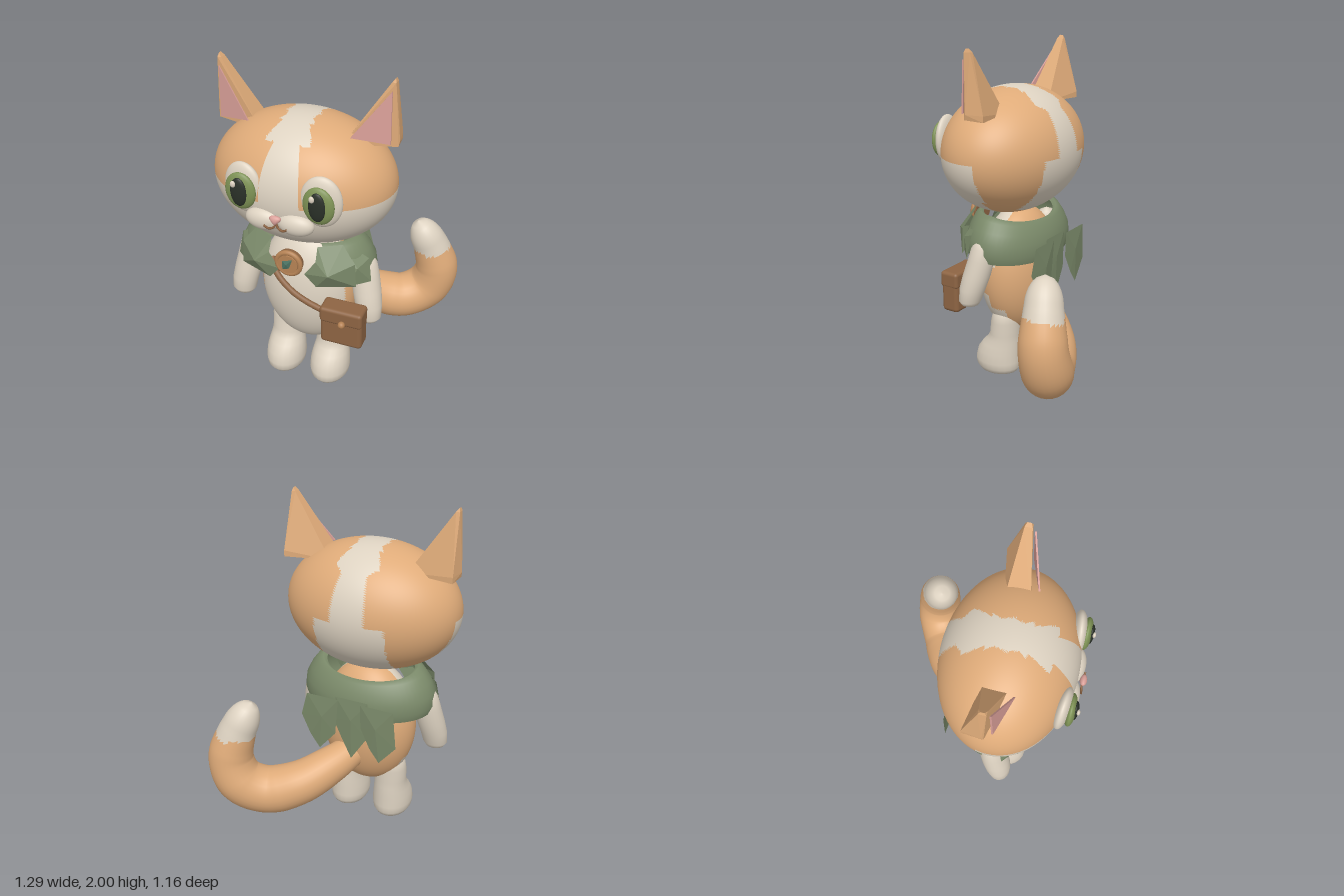
import * as THREE from 'three';
import { mergeVertices } from 'three/addons/utils/BufferGeometryUtils.js';
import { RoundedBoxGeometry } from 'three/addons/geometries/RoundedBoxGeometry.js';
import { ConvexGeometry } from 'three/addons/geometries/ConvexGeometry.js';

const CX = -0.13; // symmetry line of the body
const EYE_X = -0.122; // symmetry line of the eyes

function material(name, color, options = {}) {
  const m = new THREE.MeshStandardMaterial({ color, ...options });
  m.name = name;
  return m;
}

// Ellipsoid baked into model coordinates
function ellipsoid(x, y, z, rx, ry, rz, w = 32, h = 20) {
  return new THREE.SphereGeometry(1, w, h).scale(rx, ry, rz).translate(x, y, z);
}

// Sort triangles into two material groups by their centre
function paint(geo, isFirst) {
  const p = geo.attributes.position, idx = geo.index.array, sets = [[], []];
  const c = (i, k) => (p.getComponent(idx[i], k) + p.getComponent(idx[i + 1], k) + p.getComponent(idx[i + 2], k)) / 3;
  for (let i = 0; i < idx.length; i += 3)
    sets[isFirst(c(i, 0), c(i, 1), c(i, 2)) ? 0 : 1].push(idx[i], idx[i + 1], idx[i + 2]);
  geo.setIndex([...sets[0], ...sets[1]]);
  geo.addGroup(0, sets[0].length, 0);
  geo.addGroup(sets[0].length, sets[1].length, 1);
  return geo;
}

// Stack of horizontal ellipses, bottom to top: [y, cx, cz, rx, rz]
function loft(sections, n = 24) {
  const pos = [], index = [];
  sections.forEach(([y, cx, cz, rx, rz], r) => {
    for (let i = 0; i < n; i++) {
      const a = (i / n) * Math.PI * 2;
      pos.push(cx + rx * Math.cos(a), y, cz + rz * Math.sin(a));
      if (r === sections.length - 1) continue;
      const A = r * n + i, B = r * n + (i + 1) % n;
      index.push(A, A + n, B, B, A + n, B + n);
    }
  });
  const g = new THREE.BufferGeometry();
  g.setAttribute('position', new THREE.Float32BufferAttribute(pos, 3));
  g.setIndex(index);
  g.computeVertexNormals();
  return g;
}

// Faceted leaf: a rim of corners fanned around a raised centre
function leaf(centre, rim) {
  const pos = rim.flatMap((p, i) => [...centre, ...p, ...rim[(i + 1) % rim.length]]);
  const g = new THREE.BufferGeometry();
  g.setAttribute('position', new THREE.Float32BufferAttribute(pos, 3));
  g.computeVertexNormals();
  return g;
}

function lerpTable(table, x) {
  for (let i = 1; i < table.length; i++) {
    const [x0, y0] = table[i - 1], [x1, y1] = table[i];
    if (x <= x1) return y0 + (y1 - y0) * Math.max(0, (x - x0) / (x1 - x0));
  }
  return table[table.length - 1][1];
}

export function createModel() {
  const root = new THREE.Group();
  const orange = material('orange fur', 0xdfab79);
  const cream = material('cream fur', 0xddd2c1);
  const green = material('cape green', 0x7a8969, { side: THREE.DoubleSide });
  const iris = material('iris green', 0x7e9255);
  const dark = material('pupil dark', 0x2a3028);
  const pink = material('pink', 0xd99f98);
  const leather = material('leather brown', 0x8d6443);
  const tan = material('tan metal', 0xb58254);
  const teal = material('emblem teal', 0x4d7565, { side: THREE.DoubleSide });

  const add = (name, geo, mat) => {
    const m = new THREE.Mesh(geo, mat);
    m.name = name;
    root.add(m);
    return m;
  };

  // Head with ragged blaze, pale muzzle half and pale nape
  const blaze = [[-0.22, 0.1], [-0.115, 0.075], [-0.07, 0.13], [0.03, 0.08], [0.035, 0.1], [0.08, 0.075], [0.15, 0.092],
    [0.2, 0.072], [0.24, 0.1], [0.25, 0.075], [0.37, 0.13], [0.376, 0.072], [0.5, 0.11], [0.52, 0.11]];
  add('head', paint(ellipsoid(CX, 1.385, 0.15, 0.518, 0.372, 0.372, 144, 96), (x, y, z) => {
    const d = Math.abs(x - CX);
    if (y > 1.385) return d < lerpTable(blaze, z);
    if (z > (y < 1.15 ? 0.11 : 0.083)) return true;
    return z < 0 && d < 0.21;
  }), [cream, orange]);

  // Body with orange back
  add('body', paint(ellipsoid(CX, 0.64, 0.115, 0.294, 0.4, 0.215, 96, 72), (x, y, z) =>
    z > (y > 0.73 ? 0.1 : y > 0.54 ? 0.215 : y > 0.45 ? 0.155 : 0.06)), [cream, orange]);

  for (const s of [-1, 1]) {
    const side = s > 0 ? 'left' : 'right';
    const X = d => CX + s * d;

    // Ears: tapering wedges with a pink plate in front
    add(side + 'Ear', new ConvexGeometry([
      [0.51, 1.63, 0.13], [0.5, 1.625, 0.015], [0.232, 1.63, 0.06], [0.232, 1.63, 0.2],
      [0.515, 1.66, 0.12], [0.5, 1.66, 0.015],
      [0.488, 1.98, 0.14], [0.488, 1.98, 0.1], [0.482, 2.0, 0.13], [0.482, 2.0, 0.11], [0.466, 1.98, 0.14], [0.466, 1.98, 0.1],
    ].map(([d, y, z]) => new THREE.Vector3(X(d), y, z))), orange);
    add(side + 'InnerEar', new ConvexGeometry([[0.475, 1.94, 0.16], [0.48, 1.655, 0.17], [0.285, 1.69, 0.235]]
      .flatMap(([d, y, z]) => [0, -0.009].map(o => new THREE.Vector3(X(d), y, z + o)))), pink);

    // Eyes
    const ex = EYE_X + s * 0.215;
    const rim = add(side + 'EyeRim', ellipsoid(0, 0, 0, 0.112, 0.146, 0.042), cream);
    rim.position.set(ex, 1.438, 0.475);
    rim.rotation.y = s * 0.12;
    add(side + 'Iris', ellipsoid(ex, 1.436, 0.515, 0.086, 0.106, 0.03), iris);
    add(side + 'Pupil', ellipsoid(ex, 1.44, 0.538, 0.046, 0.082, 0.018), dark);
    add(side + 'EyeGlint', ellipsoid(ex - 0.022, 1.49, 0.553, 0.015, 0.019, 0.01, 12, 8), cream);

    // Muzzle pad and mouth curve
    add(side + 'Muzzle', ellipsoid(X(0.09), 1.288, 0.5, 0.102, 0.064, 0.054), cream);
    const mouth = new THREE.CatmullRomCurve3([[0, 1.305, 0.545], [0.012, 1.279, 0.551], [0.04, 1.269, 0.556], [0.066, 1.283, 0.557]]
      .map(([d, y, z]) => new THREE.Vector3(X(d), y, z)));
    add(side + 'Mouth', new THREE.TubeGeometry(mouth, 12, 0.006, 6), leather);

    // Leg with foot
    const L = X(0.148);
    add(side + 'Leg', loft([
      [0, L, 0.17, 0.001, 0.001], [0, L, 0.175, 0.1, 0.125], [0.03, L, 0.177, 0.117, 0.145], [0.07, L, 0.178, 0.123, 0.146],
      [0.13, L, 0.17, 0.119, 0.138], [0.18, L, 0.152, 0.11, 0.12], [0.215, L, 0.136, 0.103, 0.102], [0.255, L, 0.126, 0.1, 0.091],
      [0.34, L, 0.12, 0.101, 0.087], [0.39, L, 0.115, 0.094, 0.08], [0.43, L, 0.113, 0.07, 0.06], [0.455, L, 0.113, 0.001, 0.001]]), cream);

    // Arm
    add(side + 'Arm', loft([
      [0.512, X(0.4), 0.2, 0.001, 0.001], [0.52, X(0.4), 0.2, 0.055, 0.05], [0.545, X(0.4), 0.2, 0.073, 0.064],
      [0.62, X(0.392), 0.187, 0.08, 0.076], [0.7, X(0.375), 0.168, 0.084, 0.08], [0.8, X(0.356), 0.146, 0.082, 0.076],
      [0.87, X(0.348), 0.138, 0.073, 0.065], [0.91, X(0.348), 0.134, 0.05, 0.045], [0.93, X(0.345), 0.134, 0.001, 0.001]]), cream);

    // Faceted cape leaves over chest and shoulder
    const place = p => p.map(([d, y, z]) => [X(d), y, z]);
    const wind = p => (s > 0 ? p.reverse() : p);
    add(side + 'ChestLeaf', leaf([X(0.22), 0.91, 0.4], wind(place([[0.137, 1.045, 0.33], [0.26, 1.045, 0.26],
      [0.34, 0.95, 0.29], [0.35, 0.8, 0.29], [0.14, 0.8, 0.37], [0.075, 0.88, 0.38], [0.14, 0.97, 0.37]]))), green);
    add(side + 'ShoulderLeaf', leaf([X(0.35), 0.91, 0.27], wind(place([[0.24, 1.05, 0.23], [0.39, 0.94, 0.19],
      [0.412, 0.8, 0.21], [0.3, 0.8, 0.31], [0.24, 0.94, 0.3]]))), green);
  }

  // Nose: blunt triangle, wide at the top
  const nose = new THREE.SphereGeometry(1, 16, 12);
  const np = nose.attributes.position;
  for (let i = 0; i < np.count; i++) np.setX(i, np.getX(i) * (0.75 + 0.6 * np.getY(i)));
  nose.scale(0.036, 0.027, 0.02).translate(CX, 1.324, 0.554);
  nose.computeVertexNormals();
  add('nose', nose, pink);

  // Tail: tube with varying radius and a ragged pale tip
  const path = new THREE.CatmullRomCurve3([[-0.11, 0.5, 0.01], [0.0, 0.42, -0.15], [0.14, 0.335, -0.285], [0.32, 0.285, -0.37],
    [0.455, 0.355, -0.437], [0.509, 0.5, -0.445], [0.476, 0.66, -0.425], [0.427, 0.78, -0.4], [0.385, 0.87, -0.38]]
    .map(p => new THREE.Vector3(...p)));
  const N = 72, R = 28;
  let tail = new THREE.TubeGeometry(path, N, 1, R);
  const tp = tail.attributes.position, v = new THREE.Vector3();
  for (let i = 0; i < tp.count; i++) {
    const t = Math.floor(i / (R + 1)) / N, c = path.getPointAt(t);
    const tip = t > 0.88 ? Math.sqrt(Math.max(0.0001, 1 - ((t - 0.88) / 0.12) ** 2)) : 1;
    const r = lerpTable([[0, 0.09], [0.2, 0.12], [0.4, 0.142], [0.6, 0.143], [0.75, 0.13], [0.88, 0.105], [1, 0.1]], t) * tip;
    v.fromBufferAttribute(tp, i).sub(c).multiplyScalar(r).add(c);
    tp.setXYZ(i, v.x, v.y, v.z);
  }
  tail.deleteAttribute('normal');
  tail.deleteAttribute('uv');
  tail = mergeVertices(tail);
  tail.computeVertexNormals();
  add('tail', paint(tail, (x, y, z) => x > 0.3 && y > 0.575 + 0.27 * (x - 0.13) + (x < 0.46 ? 0.02 : -0.01)), [cream, orange]);

  // Cape band around the shoulders, open at the front and lower at the back
  const cape = new THREE.PlaneGeometry(1, 1, 48, 6);
  const profile = [[0.66, 1.03], [0.72, 1.045], [0.81, 1.025], [0.91, 0.97], [0.98, 0.91], [1, 0.84], [0.96, 0.79]];
  const cp = cape.attributes.position;
  for (let i = 0; i < cp.count; i++) {
    const a = 0.5 + (cp.getX(i) + 0.5) * (Math.PI * 2 - 1);
    const [k, y] = profile[Math.round((0.5 - cp.getY(i)) * 6)];
    const back = Math.max(0, -Math.cos(a)) * (0.025 + Math.max(0, y - 0.8) * 0.1);
    cp.setXYZ(i, CX + 0.41 * k * Math.sin(a), y - back, 0.12 + 0.26 * k * Math.cos(a));
  }
  cape.computeVertexNormals();
  add('capeBand', cape, green);

  // Three hanging leaves at the back
  for (const [d, z, tip] of [[-0.17, -0.17, 0.54], [0, -0.138, 0.5], [0.17, -0.17, 0.54]]) {
    const x = CX + d, lean = d * 0.12;
    add('backLeaf', leaf([x, 0.76, z - 0.012], [[x - 0.1, 0.89, z], [x + 0.1, 0.89, z], [x + 0.12 + lean, 0.74, z + 0.005],
      [x + 0.06 + lean, 0.62, z], [x + lean, tip, z], [x - 0.1 + lean, 0.66, z + 0.005]]), green);
  }

  // Brooch
  const disc = (r, h, z) => new THREE.CylinderGeometry(r, r, h, 32).rotateX(Math.PI / 2).translate(CX, 0.96, z);
  add('broochBase', disc(0.076, 0.04, 0.405), leather);
  add('broochRim', new THREE.TorusGeometry(0.068, 0.015, 10, 36).translate(CX, 0.96, 0.415), tan);
  add('broochFace', disc(0.058, 0.012, 0.427), tan);
  add('broochEmblem', leaf([CX - 0.005, 0.965, 0.445], [[CX - 0.03, 0.925, 0.436], [CX + 0.01, 0.94, 0.436],
    [CX + 0.03, 1.0, 0.436], [CX - 0.03, 0.98, 0.436]]), teal);

  // Satchel and strap
  const strap = new THREE.CatmullRomCurve3([[-0.3, 0.86, 0.27], [-0.25, 0.81, 0.33], [-0.15, 0.735, 0.365], [-0.05, 0.68, 0.37], [0.08, 0.62, 0.355]]
    .map(p => new THREE.Vector3(...p)));
  add('strap', new THREE.TubeGeometry(strap, 32, 0.018, 10), leather);
  add('satchel', new RoundedBoxGeometry(0.25, 0.25, 0.115, 3, 0.025).translate(0.165, 0.56, 0.342), leather);
  add('satchelFlap', new RoundedBoxGeometry(0.254, 0.1, 0.122, 3, 0.02).translate(0.165, 0.637, 0.344), leather);
  add('satchelButton', ellipsoid(0.18, 0.612, 0.42, 0.021, 0.021, 0.021, 16, 12), tan);

  return root;
}
